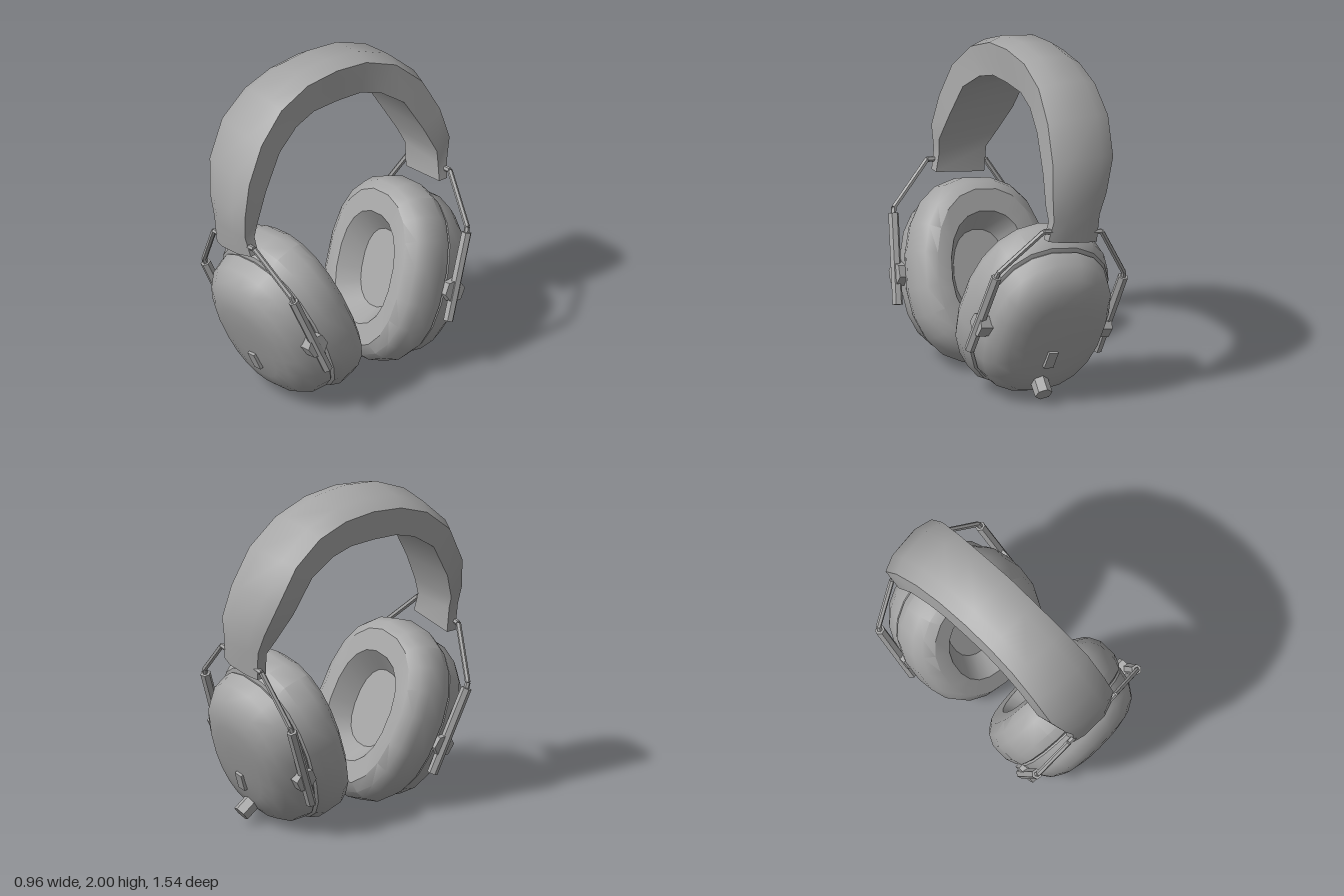
import * as THREE from 'three';
import { toCreasedNormals } from 'three/addons/utils/BufferGeometryUtils.js';

const grey = new THREE.MeshStandardMaterial({ color: 0xa6a6a6 });
grey.name = 'grey plastic';

const V = (x, y, z) => new THREE.Vector3(x, y, z);
const LEAN = 0.148; // sideways lean of the whole headset
const TILT = 0.37;  // cups open upward

function part(name, geometry, crease = 0.6) {
  const mesh = new THREE.Mesh(toCreasedNormals(geometry, crease), grey);
  mesh.name = name;
  return mesh;
}

// Skin a list of closed rings and cap both ends
function loft(rings) {
  const n = rings[0].length, last = rings.length - 1;
  const pos = [], index = [];
  rings.forEach(r => r.forEach(p => pos.push(p.x, p.y, p.z)));
  for (let i = 0; i < last; i++) {
    for (let j = 0; j < n; j++) {
      const k = (j + 1) % n;
      const a = i * n + j, b = i * n + k, c = b + n, d = a + n;
      index.push(a, b, c, a, c, d);
    }
  }
  for (const [row, flip] of [[0, true], [last, false]]) {
    const centre = V(0, 0, 0);
    rings[row].forEach(p => centre.addScaledVector(p, 1 / n));
    const c = pos.length / 3;
    pos.push(centre.x, centre.y, centre.z);
    for (let j = 0; j < n; j++) {
      const a = row * n + j, b = row * n + (j + 1) % n;
      index.push(c, flip ? b : a, flip ? a : b);
    }
  }
  const g = new THREE.BufferGeometry();
  g.setAttribute('position', new THREE.Float32BufferAttribute(pos, 3));
  g.setIndex(index);
  return g;
}

// Rounded-oval ring at depth t
function oval(t, hw, hh, sides = 20) {
  const ring = [];
  const soft = v => Math.sign(v) * Math.pow(Math.abs(v), 0.86);
  for (let i = 0; i < sides; i++) {
    const a = (i + 0.5) / sides * Math.PI * 2;
    ring.push(V(hw * soft(Math.cos(a)), hh * soft(Math.sin(a)), t));
  }
  return ring;
}

// Straight six-sided rod between two points
function rod(name, a, b, r) {
  const dir = b.clone().sub(a);
  const mesh = part(name, new THREE.CylinderGeometry(r, r, dir.length(), 6));
  mesh.position.copy(a).add(b).multiplyScalar(0.5);
  mesh.quaternion.setFromUnitVectors(V(0, 1, 0), dir.normalize());
  return mesh;
}

function createHeadband() {
  // [outer z, outer y, inner z, inner y, left edge x, right edge x]
  const half = [
    [0, 2.0, 0, 1.77, -0.40, -0.03],
    [0.22, 1.977, 0.17, 1.762, -0.40, -0.03],
    [0.435, 1.887, 0.31, 1.715, -0.40, -0.015],
    [0.61, 1.72, 0.455, 1.61, -0.395, 0.015],
    [0.72, 1.505, 0.575, 1.40, -0.37, 0.04],
    [0.77, 1.31, 0.655, 1.23, -0.30, 0.065],
    [0.765, 1.16, 0.67, 1.14, -0.25, 0.055],
    [0.745, 1.01, 0.66, 1.01, -0.235, 0.08],
  ];
  const ring = ([oz, oy, iz, iy, xl, xr], s, end) => {
    const len = Math.hypot(oz - iz, oy - iy);
    const nz = (oz - iz) / len, ny = (oy - iy) / len;
    const at = (f, z, y, drop) => {
      const x = xl + (xr - xl) * f;
      return V(x, y - ny * drop + (end ? (x + 0.08) * 0.15 : 0), s * (z - nz * drop));
    };
    return [
      at(0, iz, iy, 0.03 * ny), at(1, iz, iy, 0),
      at(1, oz, oy, 0.028), at(0.73, oz, oy, 0),
      at(0.22, oz, oy, 0.005 + 0.025 * ny), at(0, oz, oy, 0.025 + 0.065 * ny),
    ];
  };
  const last = half.length - 1;
  const rings = [];
  for (let i = last; i > 0; i--) rings.push(ring(half[i], -1, i === last));
  for (let i = 0; i <= last; i++) rings.push(ring(half[i], 1, i === last));
  return part('headband', loft(rings), 0.65);
}

// Ear cup: local y runs along the oval, local z points away from the head
function createCup(side) {
  const cup = new THREE.Group();
  cup.name = side > 0 ? 'frontEarCup' : 'backEarCup';
  const cushion = [
    [0.12, 0.17, 0.23], [0, 0.25, 0.33], [0, 0.34, 0.46], [0.04, 0.40, 0.51],
    [0.10, 0.43, 0.535], [0.21, 0.432, 0.538], [0.27, 0.41, 0.505], [0.29, 0.37, 0.46],
  ];
  const shell = [
    [0.27, 0.385, 0.475], [0.29, 0.40, 0.487], [0.38, 0.382, 0.465], [0.45, 0.335, 0.405],
    [0.49, 0.27, 0.335], [0.51, 0.19, 0.25], [0.518, 0.09, 0.12],
  ];
  cup.add(part('earCushion', loft(cushion.map(r => oval(...r))), 0.6));
  cup.add(part('earShell', loft(shell.map(r => oval(...r))), 0.7));

  // Small raised plate on the shell
  const plate = part('shellPlate', new THREE.BoxGeometry(0.06, 0.11, 0.03));
  plate.position.set(0, -0.12, 0.52);
  cup.add(plate);

  // Knob on the back cup only
  if (side < 0) {
    const knob = part('knob', new THREE.CylinderGeometry(0.052, 0.052, 0.13, 6));
    knob.position.set(0, -0.31, 0.52);
    knob.rotation.x = 1.907;
    cup.add(knob);
  }
  cup.position.set(-0.02, 0.577, side * 0.194);
  cup.rotation.set(side * TILT, side > 0 ? 0 : Math.PI, LEAN, 'ZXY');
  return cup;
}

// Bent wires, sliding tubes and brackets joining a cup to the band
function createYoke(side) {
  const yoke = new THREE.Group();
  yoke.name = side > 0 ? 'frontYoke' : 'backYoke';
  const arms = [
    { wire: [[0.03, 1.09, 0.715], [0.11, 1.10, 0.715], [0.367, 0.87, 0.643]],
      tube: [[0.375, 0.84, 0.632], [0.45, 0.35, 0.44]], bracket: [0.375, 0.51, 0.5], length: 0.13 },
    { wire: [[-0.2, 1.05, 0.715], [-0.27, 1.04, 0.715], [-0.45, 0.74, 0.647]],
      tube: [[-0.453, 0.71, 0.635], [-0.383, 0.21, 0.44]], bracket: [-0.37, 0.38, 0.5], length: 0.1 },
  ];
  for (const { wire, tube, bracket, length } of arms) {
    const path = [...wire, tube[0]].map(([x, y, z]) => V(x, y, side * z));
    for (let i = 0; i < path.length - 1; i++) {
      yoke.add(rod('yokeWire', path[i], path[i + 1], 0.016));
    }
    const [a, b] = tube.map(([x, y, z]) => V(x, y, side * z));
    yoke.add(rod('sliderTube', a, b, 0.031));
    const centre = V(bracket[0], bracket[1], side * bracket[2]);
    const reach = V(Math.cos(LEAN), Math.sin(LEAN), 0).multiplyScalar(length / 2);
    yoke.add(rod('sliderBracket', centre.clone().sub(reach), centre.clone().add(reach), 0.07));
  }
  return yoke;
}

export function createModel() {
  const model = new THREE.Group();
  model.name = 'headphones';
  model.add(createHeadband());
  for (const side of [1, -1]) model.add(createCup(side), createYoke(side));
  return model;
}
